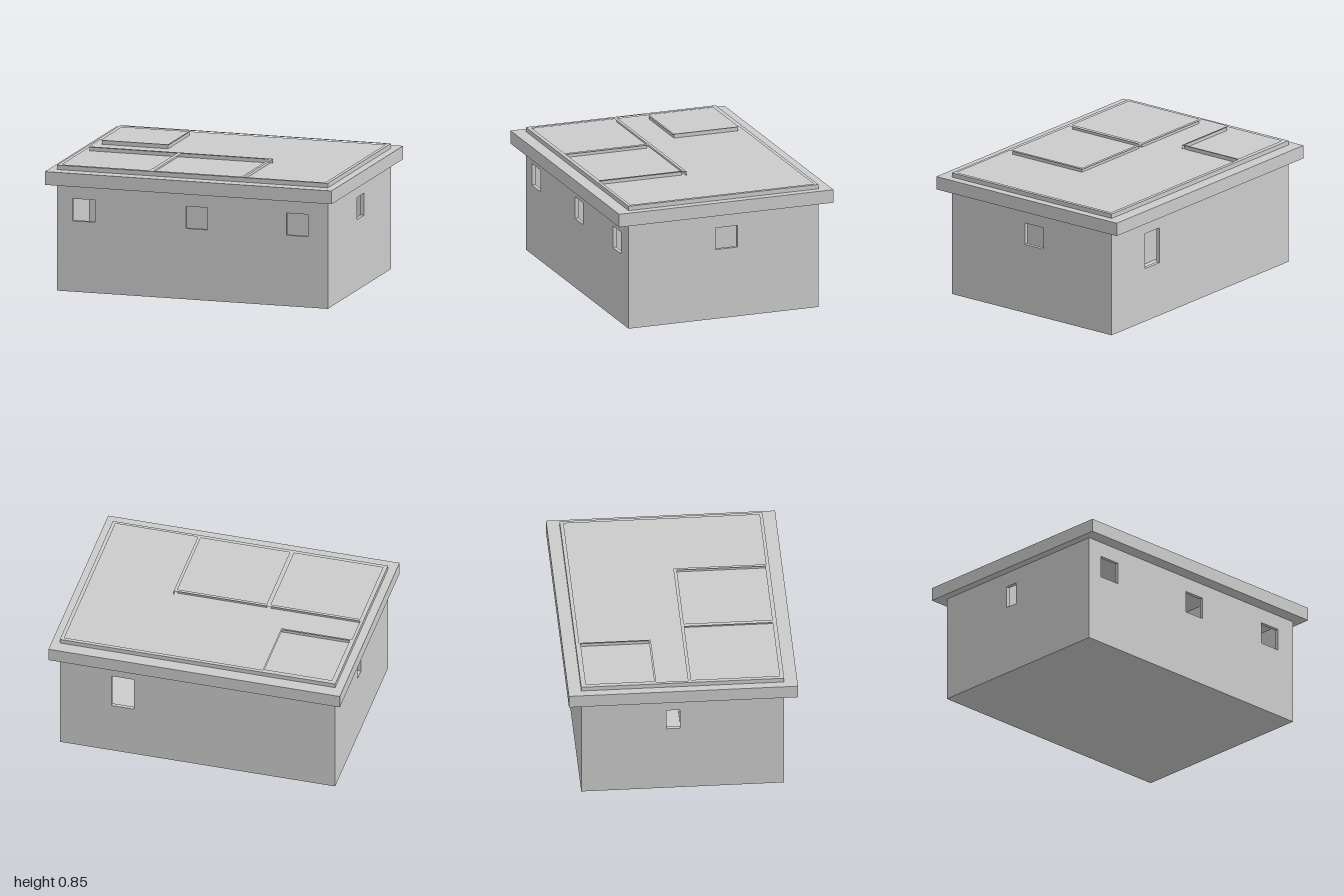
import * as THREE from 'three';

const material = new THREE.MeshStandardMaterial({ color: 0xcccccc, flatShading: true });
const CEILING = 0.73, ROOF = 0.82, RIM = 0.85, FLOOR = 0.005;

function polygon(points, Type = THREE.Shape) {
  return new Type(points.map(([x, y]) => new THREE.Vector2(x, y)));
}
const rect = (a0, a1, b0, b1) => [[a0, b0], [a1, b0], [a1, b1], [a0, b1]];

export function createModel() {
  const group = new THREE.Group();

  function add(name, geometry) {
    const mesh = new THREE.Mesh(geometry, material);
    mesh.name = name;
    group.add(mesh);
  }

  function slab(name, x0, x1, y0, y1, z0, z1) {
    const g = new THREE.BoxGeometry(x1 - x0, y1 - y0, z1 - z0);
    add(name, g.translate((x0 + x1) / 2, (y0 + y1) / 2, (z0 + z1) / 2));
  }

  // Upright wall; each opening is [start, end, bottom, top] along its length
  function wall(name, x0, x1, z0, z1, openings = []) {
    const alongX = x1 - x0 > z1 - z0;
    const [a0, a1] = alongX ? [x0, x1] : [z0, z1];
    const shape = polygon(rect(a0, a1, 0, CEILING));
    shape.holes = openings.map((o) => polygon(rect(...o), THREE.Path));
    const depth = alongX ? z1 - z0 : x1 - x0;
    const g = new THREE.ExtrudeGeometry(shape, { depth, bevelEnabled: false });
    if (alongX) g.translate(0, 0, z0);
    else g.rotateY(-Math.PI / 2).translate(x1, 0, 0);
    add(name, g);
  }

  const door = (a0, a1) => [a0, a1, FLOOR, 0.615];
  const window = (a0, a1) => [a0, a1, 0.48, 0.63];

  // Floor and overhanging roof
  slab('floor', -0.94, 0.94, 0, FLOOR, -0.67, 0.665);
  slab('roof', -1, 1, CEILING, ROOF, -0.763, 0.76);

  // Outer walls with windows
  wall('frontWall', -0.945, 0.945, 0.647, 0.672,
    [window(-0.835, -0.68), window(-0.045, 0.105), window(0.655, 0.805)]);
  wall('backWall', -0.945, 0.945, -0.677, -0.652, [[0.435, 0.59, 0.37, 0.615]]);
  wall('leftWall', 0.92, 0.945, -0.652, 0.647, [window(-0.1, 0.055)]);
  wall('rightWall', -0.945, -0.92, -0.652, 0.647, [window(-0.11, -0.02)]);

  // Room partitions with doorways
  wall('frontRoomsPartition', -0.92, 0.355, 0.034, 0.056, [door(-0.73, -0.55), door(-0.09, 0.09)]);
  wall('frontRoomsDivider', -0.308, -0.278, 0.056, 0.647);
  wall('frontRoomEndWall', 0.334, 0.355, 0.056, 0.647);
  wall('backRoomPartition', -0.92, -0.441, -0.19, -0.177, [door(-0.73, -0.55)]);
  wall('backRoomEndWall', -0.452, -0.441, -0.652, -0.19);

  // Low rims on the roof that repeat the floor plan (plan z runs along shape -y)
  const rooms = [
    rect(-0.914, -0.452, -0.644, -0.19),
    rect(-0.917, -0.308, 0.056, 0.644),
    rect(-0.278, 0.334, 0.056, 0.644),
    [[-0.441, -0.652], [0.92, -0.652], [0.92, 0.65], [0.355, 0.65],
      [0.355, 0.034], [-0.925, 0.034], [-0.925, -0.177], [-0.441, -0.177]],
  ];
  const flip = (points) => points.map(([x, z]) => [x, -z]);
  const plan = polygon(flip(rect(-0.945, 0.945, -0.677, 0.672)));
  plan.holes = rooms.map((r) => polygon(flip(r), THREE.Path));
  const rims = new THREE.ExtrudeGeometry(plan, { depth: RIM - ROOF, bevelEnabled: false });
  add('roofRims', rims.rotateX(-Math.PI / 2).translate(0, ROOF, 0));

  return group;
}
